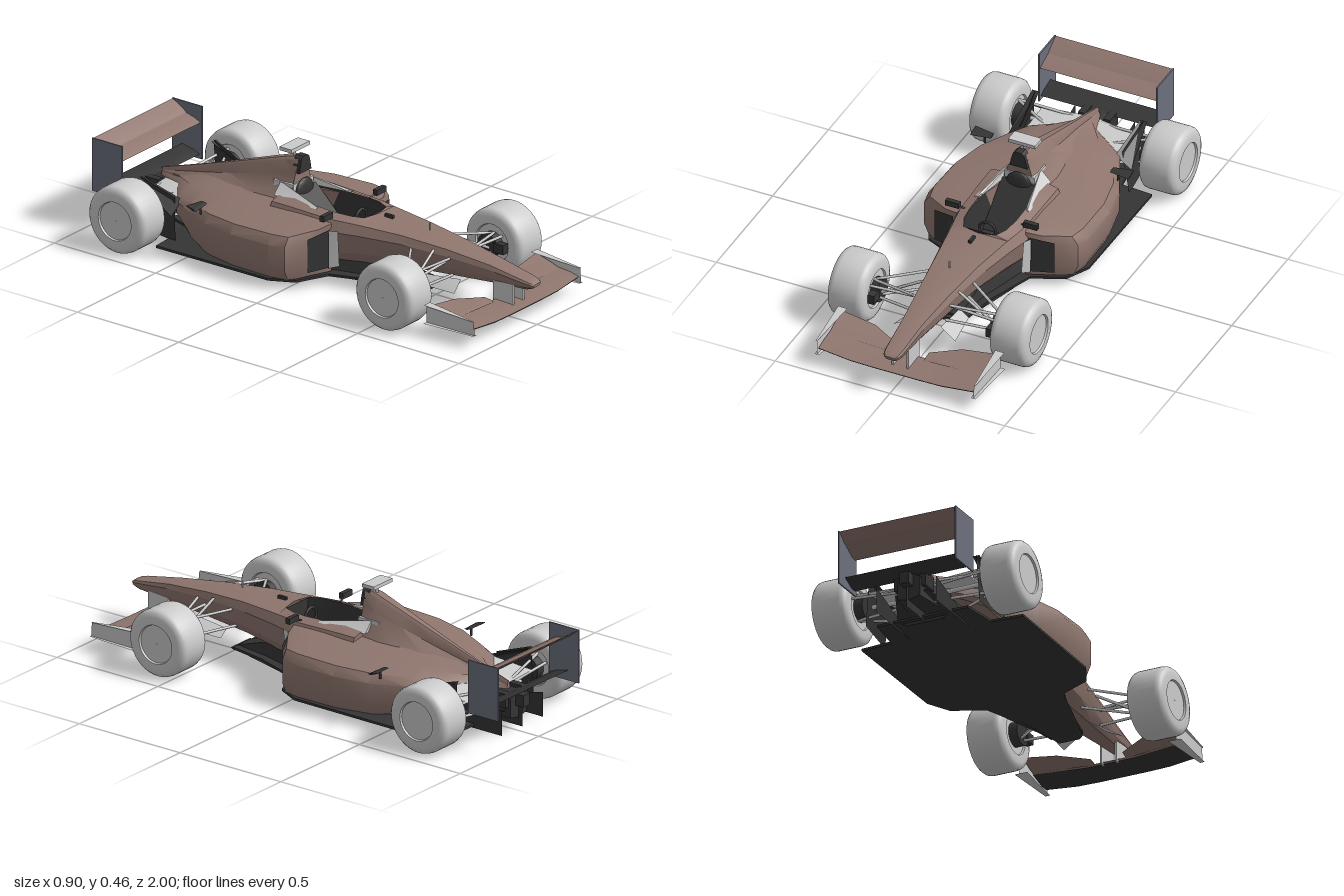
import * as THREE from 'three';
import { toCreasedNormals } from 'three/addons/utils/BufferGeometryUtils.js';

const mat = (color) => new THREE.MeshStandardMaterial({ color, side: THREE.DoubleSide });
const paint = mat(0x8f766e), dark = mat(0x343434), grey = mat(0xcccccc), slate = mat(0x6c707c);

export function createModel() {
  const car = new THREE.Group();
  car.name = 'racingCar';

  const add = (name, geometry, material) => {
    const mesh = new THREE.Mesh(geometry, material);
    mesh.name = name;
    car.add(mesh);
    return mesh;
  };
  const box = (name, material, w, h, d, x, y, z) =>
    add(name, new THREE.BoxGeometry(w, h, d), material).position.set(x, y, z);

  // Skin over equal-length rings of [x, y, z] points
  const loft = (name, material, rings, { closed = true, caps = true, crease = 0.6 } = {}) => {
    const n = rings[0].length, index = [];
    for (let i = 0; i < rings.length - 1; i++) {
      for (let j = 0; j < (closed ? n : n - 1); j++) {
        const a = i * n + j, b = i * n + (j + 1) % n;
        index.push(a, b, a + n, b, b + n, a + n);
      }
    }
    if (caps) {
      const e = (rings.length - 1) * n;
      for (let j = 1; j < n - 1; j++) index.push(0, j + 1, j, e, e + j, e + j + 1);
    }
    const g = new THREE.BufferGeometry();
    g.setAttribute('position', new THREE.Float32BufferAttribute(rings.flat(2), 3));
    g.setIndex(index);
    return add(name, toCreasedNormals(g, crease), material);
  };
  const open = { closed: false, caps: false };
  const panel = (name, material, a, b, c, d) => loft(name, material, [[a, b], [d, c]], open);
  // Full ring from a half profile that runs from the bottom centre to the top
  const mirrored = (half, z) => [
    ...half.slice().reverse().map(([x, y]) => [-x, y, z]),
    ...half.slice(1).map(([x, y]) => [x, y, z]),
  ];
  const rod = (name, a, b, r = 0.006, material = grey) => {
    const p = new THREE.Vector3(...a), q = new THREE.Vector3(...b), d = q.clone().sub(p);
    const mesh = add(name, new THREE.CylinderGeometry(r, r, d.length(), 6), material);
    mesh.position.copy(p).add(q).multiplyScalar(0.5);
    mesh.quaternion.setFromUnitVectors(new THREE.Vector3(0, 1, 0), d.normalize());
  };
  // Wing from stations [x, zLead, zTrail, yLead, yTrail]
  const wing = (name, material, stations, t = 0.006) => loft(name, material,
    stations.map(([x, zl, zt, yl, yt]) => {
      const zm = zl + (zt - zl) * 0.35, ym = yl + (yt - yl) * 0.28;
      return [[x, yl, zl], [x, ym + t, zm], [x, yt, zt], [x, ym - t, zm]];
    }), { crease: 0.3 });
  const span = (half) => [...half.slice().reverse().map(([x, ...r]) => [-x, ...r]), ...half];

  // Nose and monocoque: z, top, half width, bottom, cockpit rim half width
  const hull = [
    [1.0, 0.176, 0.022, 0.164, 0], [0.99, 0.184, 0.033, 0.157, 0], [0.965, 0.191, 0.039, 0.15, 0],
    [0.8, 0.223, 0.05, 0.14, 0], [0.6, 0.25, 0.076, 0.128, 0], [0.4, 0.267, 0.105, 0.115, 0],
    [0.215, 0.274, 0.138, 0.09, 0], [0.2, 0.274, 0.141, 0.088, 0.07], [0.15, 0.276, 0.152, 0.078, 0.092],
    [0.08, 0.277, 0.165, 0.065, 0.1], [-0.12, 0.285, 0.17, 0.045, 0.1], [-0.2, 0.285, 0.17, 0.045, 0.08],
  ];
  loft('monocoque', paint, hull.map(([z, top, w, bot, r]) => {
    const h = top - bot;
    return mirrored([[0, bot], [w * 0.55, bot], [w * 0.88, bot + h * 0.28], [w, bot + h * 0.72],
      [w * 0.86, top - h * 0.07], [r, top]], z);
  }), { closed: false, crease: 0.45 });
  box('noseSensor', grey, 0.006, 0.03, 0.006, 0, 0.285, 0.47);
  box('cockpitAerial', dark, 0.012, 0.014, 0.04, 0, 0.277, 0.27);

  // Cockpit interior, seat and headrest
  loft('cockpitLining', dark, [[0.2, 0.07], [0.15, 0.092], [0.08, 0.1], [-0.12, 0.1], [-0.2, 0.08]]
    .map(([z, r]) => mirrored([[0, 0.12], [r * 0.85, 0.12], [r, 0.275]], z)), open);
  panel('cockpitFront', dark, [-0.07, 0.12, 0.199], [0.07, 0.12, 0.199], [0.07, 0.272, 0.199], [-0.07, 0.272, 0.199]);
  panel('seatBack', dark, [-0.085, 0.13, 0], [0.085, 0.13, 0], [0.075, 0.29, -0.15], [-0.075, 0.29, -0.15]);
  add('steeringWheel', new THREE.TorusGeometry(0.035, 0.006, 6, 16), dark).position.set(0, 0.235, 0.13);
  const headrest = add('headrest', new THREE.SphereGeometry(0.055, 16, 10), dark);
  headrest.position.set(0, 0.278, -0.15);
  headrest.scale.z = 0.3;
  box('headrestPad', grey, 0.13, 0.03, 0.1, 0, 0.305, -0.205);
  for (const s of [-1, 1]) loft('cockpitShoulder', grey, [
    [[s * 0.1, 0.275, 0], [s * 0.12, 0.275, 0], [s * 0.11, 0.28, 0]],
    [[s * 0.055, 0.28, -0.22], [s * 0.105, 0.275, -0.22], [s * 0.062, 0.32, -0.22]]]);

  // Engine cover: z, top, half width at the top, half width at the base, base height
  const cover = [[-0.16, 0.427, 0.026, 0.09, 0.25], [-0.22, 0.412, 0.03, 0.12, 0.23], [-0.35, 0.367, 0.024, 0.14, 0.21],
    [-0.5, 0.315, 0.017, 0.14, 0.19], [-0.65, 0.264, 0.01, 0.09, 0.18], [-0.85, 0.2, 0.004, 0.012, 0.17]];
  loft('engineCover', paint, cover.map(([z, top, wt, wb, base]) => {
    const h = top - base;
    return mirrored([[0, base], [wb, base], [wb * 0.6, base + h * 0.35], [wt * 1.5, base + h * 0.65],
      [wt, top - h * 0.06], [wt * 0.6, top]], z);
  }));
  // Air intake above the driver
  loft('airIntake', dark, [-0.145, -0.18].map((z) => mirrored(
    [[0, 0.36], [0.038, 0.36], [0.033, 0.39], [0.024, 0.42], [0.014, 0.428]], z)));
  rod('cameraStalk', [0.002, 0.41, -0.2], [0.002, 0.455, -0.2]);
  box('cameraPod', grey, 0.118, 0.015, 0.06, 0.002, 0.455, -0.2);

  for (const s of [-1, 1]) {
    // Sidepod: z inner, z outer, inner x, outer x, inner top, outer top, bottom
    const pod = [[0.1, 0.06, 0.15, 0.27, 0.25, 0.225, 0.05], [0.04, 0.01, 0.13, 0.335, 0.255, 0.222, 0.04],
      [-0.05, -0.06, 0.1, 0.35, 0.262, 0.222, 0.038], [-0.25, -0.25, 0.05, 0.347, 0.265, 0.217, 0.038],
      [-0.4, -0.4, 0.04, 0.315, 0.262, 0.212, 0.04], [-0.53, -0.53, 0.03, 0.255, 0.25, 0.207, 0.06],
      [-0.63, -0.62, 0.02, 0.21, 0.235, 0.2, 0.11], [-0.78, -0.75, 0.005, 0.03, 0.2, 0.19, 0.16]];
    loft('sidepod', paint, pod.map(([zi, zo, xi, xo, ti, to, b]) => [
      [s * xi, b, zi], [s * (xo - 0.02), b, zo], [s * xo, b + (to - b) * 0.25, zo], [s * xo, b + (to - b) * 0.8, zo],
      [s * (xo - 0.025), to, zo], [s * (xi + xo) / 2, to * 0.45 + ti * 0.55, (zi + zo) / 2], [s * xi, ti, zi]]));
    panel('radiatorInlet', dark, [s * 0.165, 0.07, 0.102], [s * 0.262, 0.07, 0.068],
      [s * 0.262, 0.21, 0.068], [s * 0.165, 0.23, 0.102]);
    // Turning vanes
    panel('inletVane', grey, [s * 0.152, 0.08, 0.14], [s * 0.175, 0.07, 0.105], [s * 0.178, 0.23, 0.105], [s * 0.162, 0.23, 0.14]);
    panel('noseVane', grey, [s * 0.06, 0.13, 0.67], [s * 0.135, 0.1, 0.695], [s * 0.1, 0.08, 0.5], [s * 0.06, 0.11, 0.5]);
    // Mirrors, sidepod winglets and rear flick-ups
    box('mirror', dark, 0.06, 0.024, 0.02, s * 0.17, 0.283, 0.09);
    rod('mirrorStay', [s * 0.12, 0.265, 0.08], [s * 0.16, 0.28, 0.085], 0.004, dark);
    wing('sidepodWinglet', dark, [[s * 0.26, -0.43, -0.46, 0.235, 0.24], [s * 0.345, -0.42, -0.47, 0.232, 0.245]], 0.004);
    rod('wingletStay', [s * 0.29, 0.2, -0.44], [s * 0.29, 0.235, -0.44], 0.005, dark);
    panel('flickUp', dark, [s * 0.27, 0.04, -0.58], [s * 0.25, 0.05, -0.78], [s * 0.235, 0.255, -0.78], [s * 0.22, 0.2, -0.62]);
    panel('flickUpShelf', dark, [s * 0.2, 0.19, -0.6], [s * 0.27, 0.14, -0.6], [s * 0.25, 0.25, -0.78], [s * 0.22, 0.25, -0.78]);
  }

  // Underfloor, bevelled plank and keel
  const outline = [[0.07, 0.46], [0.1, 0.3], [0.17, 0.1], [0.3, 0.04], [0.35, -0.06], [0.355, -0.61], [0.22, -0.62], [0.2, -0.78]];
  const floorShape = new THREE.Shape([...outline, ...outline.slice().reverse().map(([x, z]) => [-x, z])]
    .map(([x, z]) => new THREE.Vector2(x, z)));
  const floor = add('underfloor', new THREE.ExtrudeGeometry(floorShape, { depth: 0.01, bevelEnabled: false }), dark);
  floor.rotation.x = Math.PI / 2;
  floor.position.y = 0.044;
  loft('plank', dark, [[0.48, 0.045, 0.06], [0.2, 0.09, 0.14], [0, 0.1, 0.18], [-0.6, 0.1, 0.18], [-0.76, 0.08, 0.1]]
    .map(([z, w, wt]) => mirrored([[0, 0.021], [w, 0.021], [wt, 0.036], [0.01, 0.036]], z)));
  loft('keel', dark, [[0.46, 0.05, 0.045], [0.3, 0.07, 0.1], [0.05, 0.14, 0.1]]
    .map(([z, w, t]) => mirrored([[0, 0.03], [w, 0.03], [w * 0.8, t], [0.01, t]], z)));

  // Rear deck, gearbox and diffuser
  loft('rearDeck', grey, [[-0.56, 0.2, 0.2], [-0.65, 0.2, 0.192], [-0.8, 0.215, 0.175], [-0.82, 0.06, 0.17]]
    .map(([z, w, t]) => mirrored([[0, t - 0.015], [w, t - 0.015], [w, t - 0.008], [0.01, t]], z)));
  loft('gearbox', dark, [[-0.5, 0.14], [-0.75, 0.07], [-0.9, 0.05]]
    .map(([z, w]) => mirrored([[0, 0.06], [w, 0.07], [w, 0.15], [0.02, 0.17]], z)));
  panel('diffuserRamp', dark, [-0.18, 0.037, -0.62], [0.18, 0.037, -0.62], [0.07, 0.1, -0.88], [-0.07, 0.1, -0.88]);
  for (const x of [-0.13, 0, 0.13]) panel('diffuserFin', dark,
    [x, 0.025, -0.64], [x, 0.025, -0.92], [x, 0.13, -0.92], [x, 0.05, -0.64]);

  // Front wing
  const main = [[0.1, 0.95, 0.82, 0.066, 0.078], [0.2, 0.95, 0.82, 0.068, 0.086], [0.338, 0.945, 0.82, 0.08, 0.098]];
  wing('frontWingMain', paint, span(main));
  wing('frontWingUnderside', dark, span(main.map(([x, zl, zt, yl, yt]) => [x, zl - 0.005, zt + 0.005, yl - 0.006, yt - 0.006])));
  for (const s of [-1, 1]) {
    wing('frontWingFlap', paint, [[s * 0.07, 0.84, 0.795, 0.08, 0.09], [s * 0.19, 0.845, 0.74, 0.088, 0.108],
      [s * 0.338, 0.845, 0.735, 0.095, 0.128]], 0.004);
    box('frontWingPylon', grey, 0.008, 0.09, 0.1, s * 0.032, 0.115, 0.86);
    panel('frontEndplate', grey, [s * 0.34, 0.055, 0.955], [s * 0.345, 0.055, 0.72], [s * 0.345, 0.132, 0.72], [s * 0.342, 0.115, 0.95]);
    panel('endplateLip', grey, [s * 0.342, 0.115, 0.95], [s * 0.348, 0.115, 0.95], [s * 0.362, 0.132, 0.72], [s * 0.322, 0.132, 0.72]);
    panel('frontFootplate', grey, [s * 0.33, 0.055, 0.955], [s * 0.35, 0.055, 0.955], [s * 0.365, 0.055, 0.72], [s * 0.31, 0.055, 0.72]);
  }

  // Rear wing
  const flat = (...r) => [[-0.257, ...r], [0.257, ...r]];
  wing('rearWingMain', paint, flat(-0.86, -0.94, 0.3, 0.328));
  wing('rearWingFlap', paint, flat(-0.93, -0.998, 0.327, 0.368), 0.005);
  wing('rearBeamWing', dark, flat(-0.865, -0.95, 0.165, 0.19));
  for (const s of [-1, 1]) {
    box('rearEndplate', slate, 0.006, 0.224, 0.148, s * 0.257, 0.258, -0.926);
    box('beamWingMount', dark, 0.03, 0.06, 0.07, s * 0.055, 0.145, -0.855);
  }
  box('rainLight', dark, 0.04, 0.05, 0.04, 0, 0.14, -0.92);

  // Wheels: tyre profile as [radius, offset along the axle]
  const wheel = (name, x, z, w) => {
    const h = w / 2;
    const half = [[0.001, h - 0.008], [0.078, h - 0.008], [0.081, h], [0.112, h], [0.128, h - 0.006], [0.137, h - 0.016], [0.14, h - 0.03]];
    const pts = [...half.map(([r, y]) => [r, -y]), ...half.slice().reverse()].map(([r, y]) => new THREE.Vector2(r, y));
    const mesh = add(name, toCreasedNormals(new THREE.LatheGeometry(pts, 40), 0.6), grey);
    mesh.rotation.z = Math.PI / 2;
    mesh.position.set(x, 0.143, z);
  };
  for (const s of [-1, 1]) {
    wheel('frontWheel', s * 0.353 + 0.004, 0.562, 0.158);
    wheel('rearWheel', s * 0.37, -0.742, 0.158);
    for (const [x, z] of [[0.268, 0.562], [0.28, -0.742]]) {
      const hub = add('brakeDrum', new THREE.CylinderGeometry(0.05, 0.05, 0.04, 20), dark);
      hub.rotation.z = Math.PI / 2;
      hub.position.set(s * x, 0.143, z);
    }
    box('brakeDuct', dark, 0.03, 0.04, 0.05, s * 0.258, 0.145, 0.62);
    // Front suspension
    for (const z of [0.44, 0.63]) {
      rod('frontUpperWishbone', [s * 0.08, 0.215, z], [s * 0.28, 0.19, 0.57]);
      rod('frontLowerWishbone', [s * 0.06, 0.14, z], [s * 0.28, 0.115, 0.57]);
    }
    rod('frontPushrod', [s * 0.08, 0.23, 0.55], [s * 0.27, 0.125, 0.57]);
    rod('steeringArm', [s * 0.07, 0.19, 0.6], [s * 0.28, 0.185, 0.61]);
    // Rear suspension
    for (const z of [-0.64, -0.8]) {
      rod('rearUpperWishbone', [s * 0.06, 0.165, z], [s * 0.3, 0.2, -0.76]);
      rod('rearLowerWishbone', [s * 0.06, 0.085, z], [s * 0.3, 0.095, -0.75]);
    }
    rod('driveshaft', [s * 0.05, 0.14, -0.742], [s * 0.3, 0.143, -0.742], 0.009);
    rod('rearTrackRod', [s * 0.05, 0.15, -0.8], [s * 0.3, 0.17, -0.8]);
  }
  return car;
}
